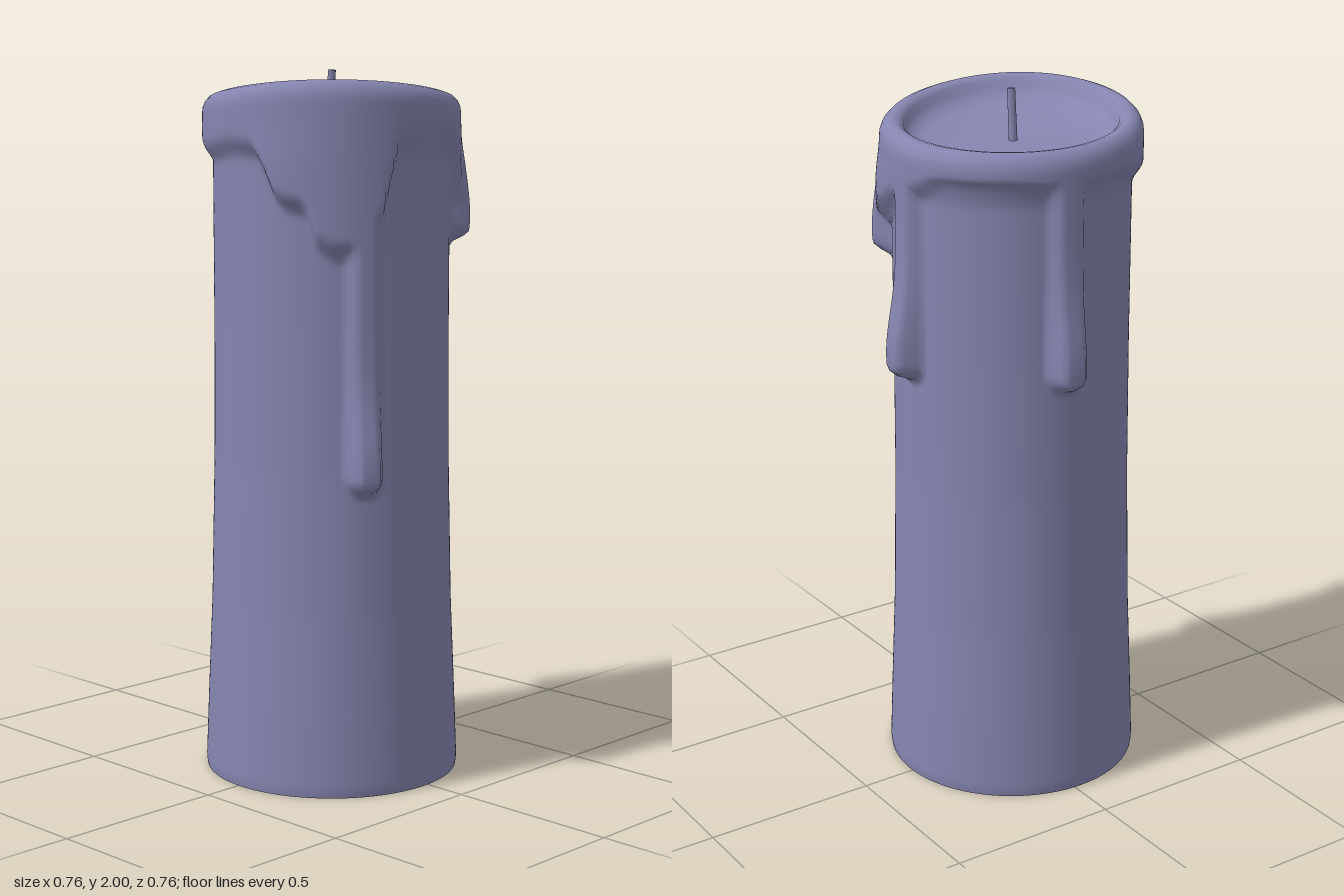
import * as THREE from 'three';
import { mergeVertices } from 'three/addons/utils/BufferGeometryUtils.js';

const { smoothstep, lerp, degToRad } = THREE.MathUtils;
const CX = 0.012, CZ = 0.022;

// Linear lookup in a list of [key, value] pairs
function lookup(table, key) {
  for (let i = 1; i < table.length; i++) {
    const [k0, v0] = table[i - 1], [k1, v1] = table[i];
    if (key <= k1) return lerp(v0, v1, (key - k0) / (k1 - k0));
  }
  return table[table.length - 1][1];
}

// Radius of the plain wax column by height
const COLUMN = [[0, 0.362], [0.02, 0.365], [0.2, 0.358], [0.5, 0.345], [0.9, 0.336], [1.3, 0.333], [2, 0.333]];

// Lower edge of the molten skirt by angle (0 = +x, 90 = front)
const SKIRT = [[0, 1.83], [14, 1.8], [22, 1.6], [30, 1.5], [45, 1.5], [52, 1.53], [57, 1.62], [66, 1.63],
  [71, 1.65], [76, 1.72], [82, 1.78], [95, 1.79], [110, 1.77], [125, 1.76], [140, 1.78], [165, 1.82],
  [180, 1.8], [200, 1.8], [215, 1.83], [245, 1.82], [260, 1.76], [280, 1.72], [292, 1.67], [304, 1.62],
  [312, 1.55], [320, 1.62], [328, 1.77], [340, 1.83], [360, 1.83]];

// Long runs of wax: angle, height of the tip, half width, thickness at the tip
const DRIPS = [
  { angle: 30, tip: 0.84, width: 0.056, bulge: 0.064 },
  { angle: 188, tip: 1.22, width: 0.06, bulge: 0.062 },
  { angle: 270, tip: 1.22, width: 0.06, bulge: 0.066 },
  { angle: 312, tip: 1.51, width: 0.06, bulge: 0.058 },
];

// Thickness of the molten wax lying over the column
function waxThickness(angle, y) {
  const edge = lookup(SKIRT, angle);
  const fold = 0.012 * Math.exp(-(((angle - 300) / 18) ** 2)) + 0.006 * Math.exp(-(((angle - 75) / 25) ** 2));
  let t = (0.03 + fold) * smoothstep(y, edge - 0.02, edge + 0.045);
  for (const d of DRIPS) {
    const across = degToRad(angle - d.angle) * 0.345;
    const below = Math.min(0, y - (d.tip + d.width));
    const dist = Math.hypot(across, below) / d.width;
    const thick = lerp(0.03, d.bulge, Math.exp(-(((y - d.tip - 0.08) / 0.17) ** 2)));
    t = Math.max(t, thick * (1 - smoothstep(dist, 0.4, 1.05)));
  }
  // the rim itself keeps an even thickness
  return lerp(t, 0.03, smoothstep(y, 1.74, 1.88));
}

function candleGeometry() {
  const ROWS = 130, SIDES = 180, TOP = 1.88;
  const points = [];
  for (let i = 0; i <= ROWS; i++) {
    const y = TOP * i / ROWS;
    points.push(new THREE.Vector2(lookup(COLUMN, y), y));
  }
  // rounded rim, then the hollow pool
  const rim = [[0.361, 1.897], [0.354, 1.914], [0.341, 1.927], [0.325, 1.932], [0.308, 1.929], [0.296, 1.919],
    [0.288, 1.9], [0.273, 1.882], [0.245, 1.87], [0.16, 1.861], [0.07, 1.857], [0, 1.856]];
  for (const [r, y] of rim) points.push(new THREE.Vector2(r, y));

  let geo = new THREE.LatheGeometry(points, SIDES);
  const pos = geo.attributes.position;
  for (let i = 0; i < pos.count; i++) {
    const x = pos.getX(i), z = pos.getZ(i), y = pos.getY(i);
    const r = Math.hypot(x, z);
    const a = Math.atan2(z, x);
    const angle = (a * 180 / Math.PI + 360) % 360;
    const row = i % points.length;
    const out = row <= ROWS ? r + waxThickness(angle, y) : r;
    // sloping lip: high at the front left, low behind
    const lift = 0.036 * Math.cos(a - Math.PI / 4) + 0.005 * Math.sin(2 * a);
    const sway = smoothstep(y, 1.8, 1.89) * smoothstep(r, 0.05, 0.3);
    pos.setXYZ(i, out * Math.cos(a), y + lift * sway, out * Math.sin(a));
  }
  geo.deleteAttribute('normal');
  geo.deleteAttribute('uv');
  geo = mergeVertices(geo, 1e-5);
  geo.computeVertexNormals();
  return geo;
}

export function createModel() {
  const group = new THREE.Group();
  group.name = 'candle';
  const material = new THREE.MeshStandardMaterial({ color: 0x8585b0 });

  const add = (name, geometry) => {
    const mesh = new THREE.Mesh(geometry, material);
    mesh.name = name;
    group.add(mesh);
    return mesh;
  };

  // Wax column with rim, pool and drips
  add('waxBody', candleGeometry()).position.set(CX, 0, CZ);

  // Flat underside
  const base = add('base', new THREE.CircleGeometry(0.362, 90));
  base.rotation.x = Math.PI / 2;
  base.position.set(CX, 0, CZ);

  // Wick, slightly leaning
  const wick = add('wick', new THREE.CylinderGeometry(0.011, 0.012, 0.16, 10));
  wick.position.set(CX - 0.004, 1.919, CZ);
  wick.rotation.z = -0.07;

  return group;
}
